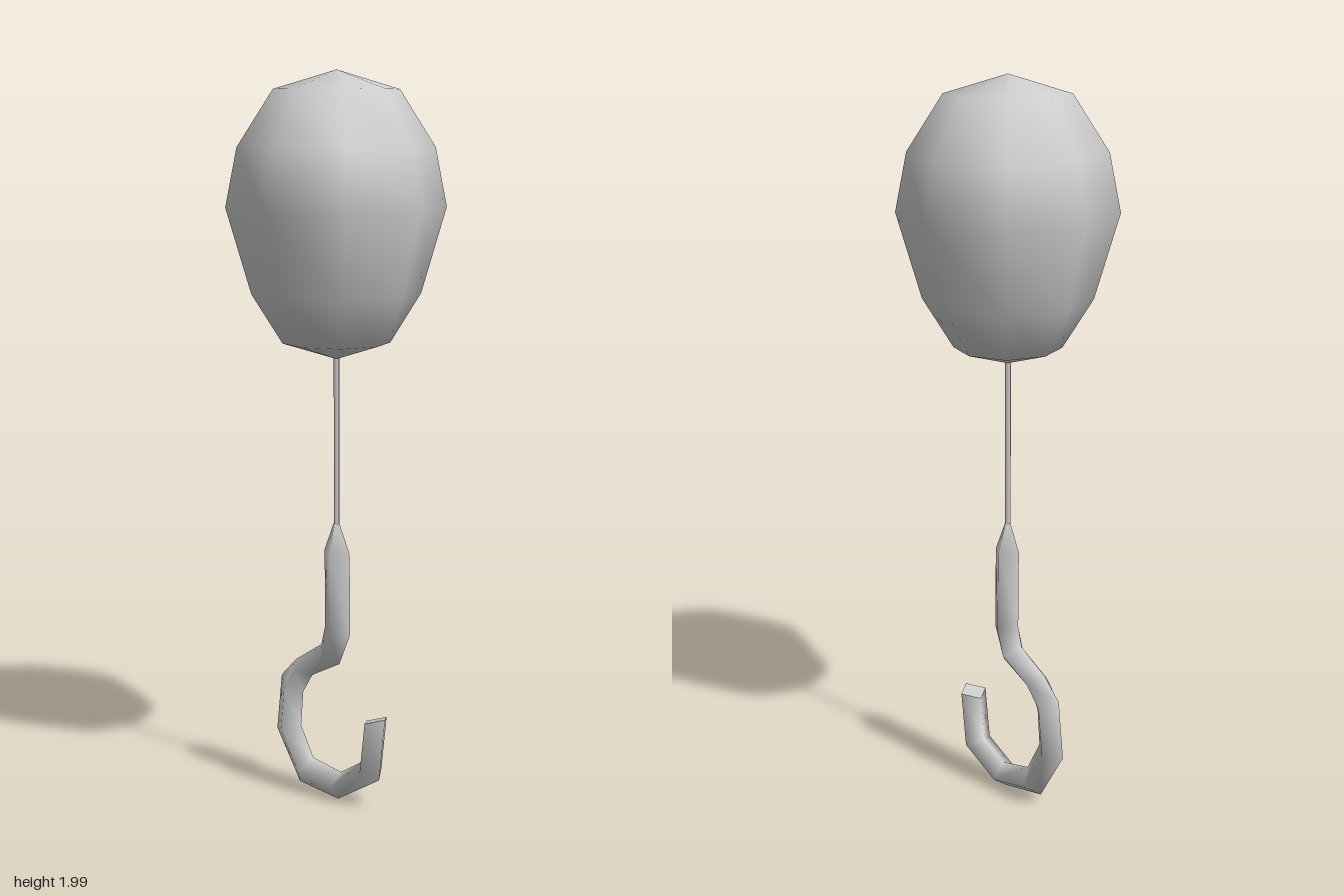
import * as THREE from 'three';

const material = new THREE.MeshStandardMaterial({ color: 0xcccccc, side: THREE.DoubleSide });

function addMesh(group, name, geometry) {
  const mesh = new THREE.Mesh(geometry, material);
  mesh.name = name;
  group.add(mesh);
  return mesh;
}

// Eight-sided balloon, slightly fuller on the diagonals
function balloonGeometry() {
  const profile = [[0, 1.24], [0.14, 1.283], [0.22, 1.415], [0.285, 1.643], [0.255, 1.8], [0.162, 1.95], [0, 2]];
  const geo = new THREE.LatheGeometry(profile.map(([r, y]) => new THREE.Vector2(r, y)), 8);
  const pos = geo.attributes.position;
  for (let i = 0; i < pos.count; i++) {
    const x = pos.getX(i), z = pos.getZ(i);
    if (Math.abs(x * z) > 1e-6) pos.setXYZ(i, x * 1.03, pos.getY(i), z * 1.03);
  }
  return geo;
}

// Hook cross-sections: [z, y] of the one edge and [z, y] of the opposite edge, x half-width
const sections = [
  [0.008, 0.795, -0.008, 0.795, 0.008],
  [0.04, 0.71, -0.04, 0.715, 0.04],
  [0.04, 0.485, -0.04, 0.5, 0.041],
  [0, 0.395, -0.055, 0.445, 0.042],
  [-0.1, 0.345, -0.15, 0.385, 0.042],
  [-0.135, 0.29, -0.205, 0.33, 0.042],
  [-0.145, 0.19, -0.225, 0.17, 0.042],
  [-0.1, 0.105, -0.14, 0.03, 0.042],
  [0, 0.085, 0, 0.01, 0.042],
  [0.075, 0.13, 0.145, 0.095, 0.042],
  [0.09, 0.25, 0.165, 0.27, 0.042],
];
const SIDES = 4, TWIST = 0.14;

function sectionPoints([az, ay, bz, by, half], i) {
  const points = [];
  for (let k = 0; k < SIDES; k++) {
    const angle = (k / SIDES) * Math.PI * 2 + TWIST;
    const c = Math.cos(angle) / 2, s = Math.sin(angle);
    points.push(
      0.013 * Math.min(1, i / 6) + half * s,
      (ay + by) / 2 + (ay - by) * c,
      (az + bz) / 2 + (az - bz) * c,
    );
  }
  return points;
}

function indexedGeometry(positions, index) {
  const geo = new THREE.BufferGeometry();
  geo.setAttribute('position', new THREE.Float32BufferAttribute(positions, 3));
  geo.setIndex(index);
  geo.computeVertexNormals();
  return geo;
}

function hookGeometry() {
  const index = [];
  for (let i = 0; i < sections.length - 1; i++) {
    for (let k = 0; k < SIDES; k++) {
      const n = (k + 1) % SIDES;
      const a = i * SIDES + k, b = i * SIDES + n;
      index.push(a, a + SIDES, b + SIDES, a, b + SIDES, b);
    }
  }
  return indexedGeometry(sections.flatMap(sectionPoints), index);
}

export function createModel() {
  const group = new THREE.Group();
  group.name = 'balloonWithHook';

  addMesh(group, 'balloon', balloonGeometry());

  // Thin string between balloon and hook
  const string = addMesh(group, 'string', new THREE.CylinderGeometry(0.008, 0.008, 0.48, 6));
  string.position.y = 1.02;

  addMesh(group, 'hook', hookGeometry());

  // Flat cut end of the hook
  const last = sections.length - 1;
  addMesh(group, 'hookEnd', indexedGeometry(sectionPoints(sections[last], last), [0, 3, 2, 0, 2, 1]));

  return group;
}
